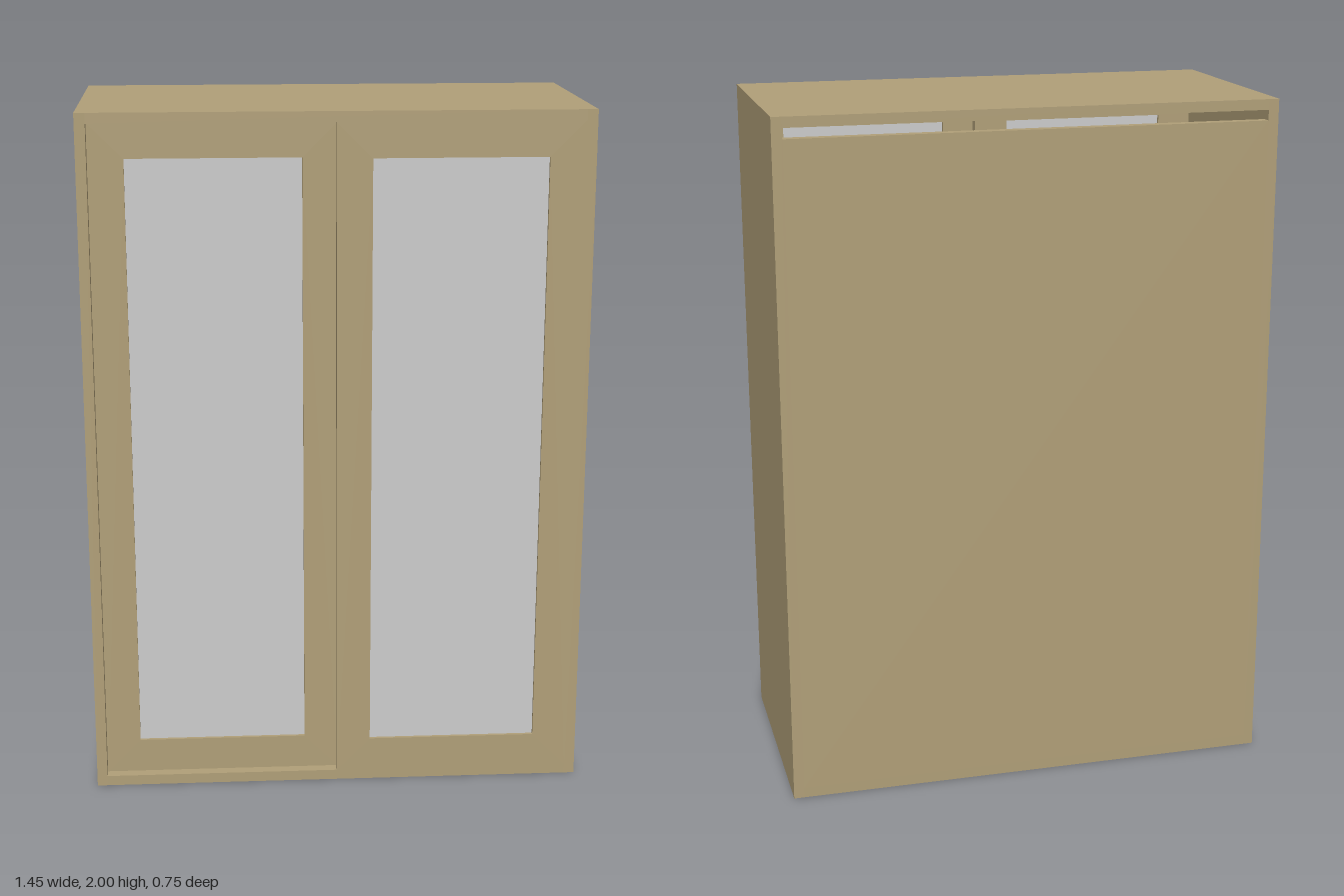
import * as THREE from 'three';

const W = 1.437, H = 2, D = 0.715, T = 0.03; // outer size and board thickness
const wood = new THREE.MeshStandardMaterial({ color: 0xb09f78 });
const pane = new THREE.MeshStandardMaterial({ color: 0xcccccc });

function board(parent, name, w, h, d, x, y, z, material = wood) {
  const mesh = new THREE.Mesh(new THREE.BoxGeometry(w, h, d), material);
  mesh.position.set(x, y, z);
  mesh.name = name;
  parent.add(mesh);
}

// Sliding door: a frame with one tall opening and a thin inset panel
function slidingDoor(name, w, h, border) {
  const door = new THREE.Group();
  door.name = name;
  const rect = (target, a, b) => {
    target.moveTo(-a, -b);
    target.lineTo(a, -b);
    target.lineTo(a, b);
    target.lineTo(-a, b);
    target.closePath();
    return target;
  };
  const shape = rect(new THREE.Shape(), w / 2, h / 2);
  shape.holes.push(rect(new THREE.Path(), w / 2 - border, h / 2 - border));
  const geometry = new THREE.ExtrudeGeometry(shape, { depth: T, bevelEnabled: false });
  geometry.translate(0, 0, -T / 2);
  const frame = new THREE.Mesh(geometry, wood);
  frame.name = 'doorFrame';
  door.add(frame);
  board(door, 'doorPanel', w - 2 * border, h - 2 * border, 0.01, 0, 0, 0, pane);
  return door;
}

export function createModel() {
  const model = new THREE.Group();
  model.name = 'slidingDoorCabinet';
  const innerW = W - 2 * T, innerH = H - 2 * T;

  // Carcass
  for (const [name, s] of [['leftSide', 1], ['rightSide', -1]]) {
    board(model, name, T, H, D, s * (W - T) / 2, H / 2, 0);
  }
  board(model, 'bottomBoard', innerW, T, D, 0, T / 2, 0);
  board(model, 'topBoard', innerW, T, D, 0, H - T / 2, 0);

  // Back stops short of the top board, leaving a narrow slot
  const backH = innerH - 0.03;
  board(model, 'backPanel', innerW, backH, T, 0, T + backH / 2, (T - D) / 2);

  // One door is flush with the front, the other slides on a track behind it
  const doorW = innerW / 2 + 0.003;
  const front = slidingDoor('leftDoor', doorW, innerH, 0.1);
  front.position.set((innerW - doorW) / 2, H / 2, D / 2 - T / 2);
  const rear = slidingDoor('rightDoor', doorW, innerH, 0.1);
  rear.position.set(-(innerW - doorW) / 2, H / 2, D / 2 - T * 1.5 - 0.002);
  model.add(front, rear);

  // The cabinet stands slightly turned
  model.rotation.y = 0.0244;
  const root = new THREE.Group();
  root.name = 'cabinet';
  root.add(model);
  return root;
}
